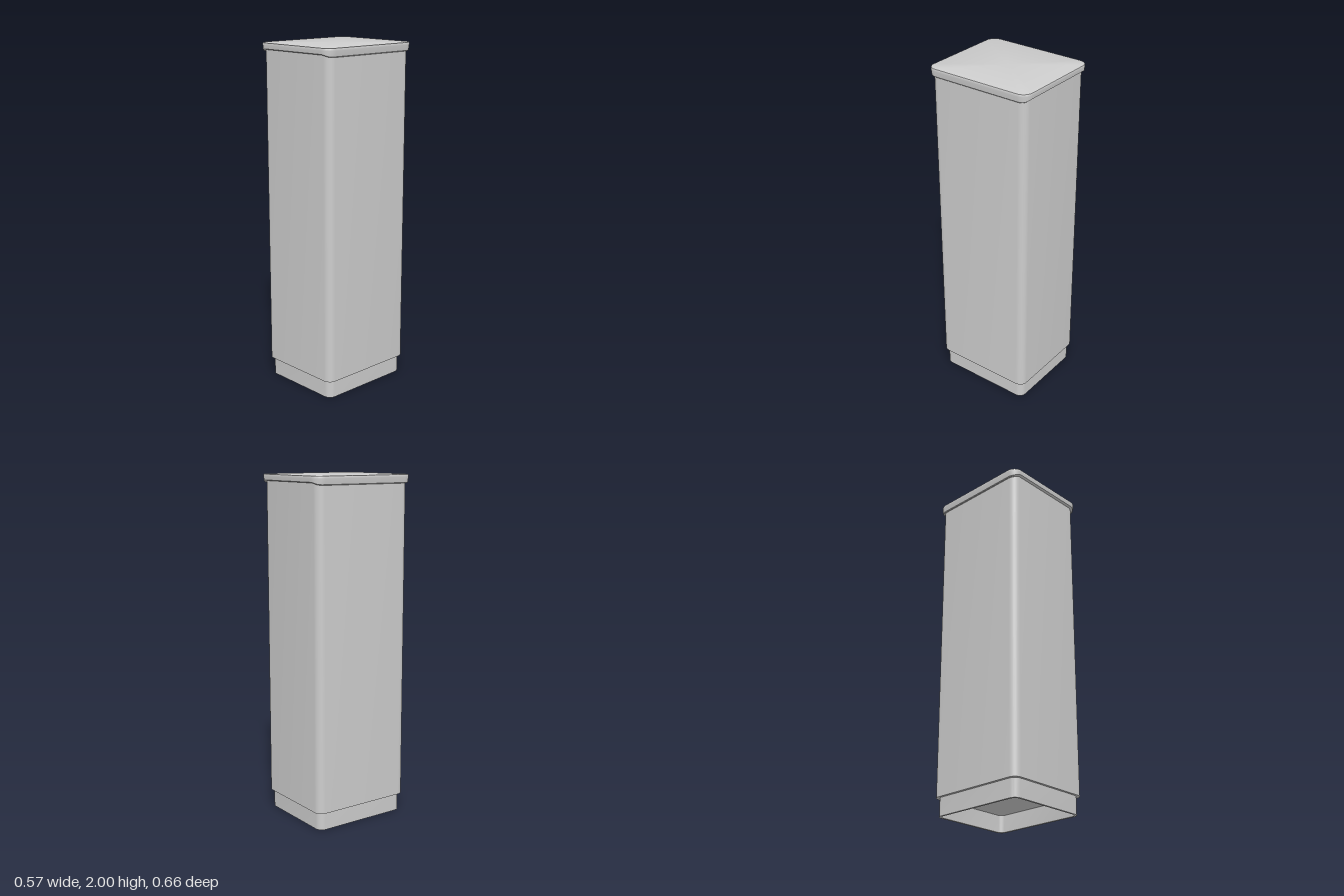
import * as THREE from 'three';
import { toCreasedNormals } from 'three/addons/utils/BufferGeometryUtils.js';

const CORNER_STEPS = 8;

// Points of a rounded rectangle in plan
function ring(hx, hz, r) {
  const pts = [];
  for (let c = 0; c < 4; c++) {
    const sx = c === 0 || c === 3 ? 1 : -1;
    const sz = c < 2 ? 1 : -1;
    for (let i = 0; i <= CORNER_STEPS; i++) {
      const a = (c + i / CORNER_STEPS) * Math.PI / 2;
      pts.push([sx * (hx - r) + r * Math.cos(a), sz * (hz - r) + r * Math.sin(a)]);
    }
  }
  return pts;
}

// Skin through levels of [half width, half depth, corner radius, y, side drop]
function loft(levels) {
  const pos = [], index = [];
  const n = 4 * (CORNER_STEPS + 1);
  levels.forEach(([hx, hz, r, y, drop = 0], j) => {
    ring(hx, hz, r).forEach(([x, z], i) => {
      const t = THREE.MathUtils.smoothstep(Math.abs(x), hx - r, hx);
      pos.push(x, y - drop * t, z);
      if (j === levels.length - 1) return;
      const a = j * n + i, b = j * n + (i + 1) % n;
      index.push(a, a + n, b, b, a + n, b + n);
    });
  });
  const g = new THREE.BufferGeometry();
  g.setAttribute('position', new THREE.Float32BufferAttribute(pos, 3));
  g.setIndex(index);
  return toCreasedNormals(g, 0.6);
}

export function createModel() {
  const group = new THREE.Group();
  const grey = new THREE.MeshStandardMaterial({ color: 0xcccccc });
  grey.name = 'light grey';

  const add = (name, levels) => {
    const mesh = new THREE.Mesh(loft(levels), grey);
    mesh.name = name;
    group.add(mesh);
  };

  // Recessed plinth, hollow underneath
  add('plinth', [
    [0, 0, 0, 0.1],
    [0.244, 0.282, 0.03, 0.1],
    [0.244, 0.282, 0.03, 0],
    [0.257, 0.295, 0.04, 0],
    [0.257, 0.295, 0.04, 0.107],
  ]);

  // Tall shaft with a ledge over the plinth
  add('shaft', [
    [0.25, 0.288, 0.035, 0.105],
    [0.273, 0.31, 0.045, 0.105],
    [0.273, 0.31, 0.045, 1.97],
  ]);

  // Overhanging lid, its rim a little deeper along the two sides
  add('lid', [
    [0.27, 0.307, 0.043, 1.962, 0.012],
    [0.278, 0.32, 0.05, 1.962, 0.012],
    [0.282, 0.326, 0.053, 1.966, 0.012],
    [0.287, 0.328, 0.057, 1.985],
    [0.287, 0.328, 0.057, 1.995],
    [0.2855, 0.3265, 0.056, 1.9985],
    [0.282, 0.323, 0.054, 2],
    [0, 0, 0, 2],
  ]);

  return group;
}
